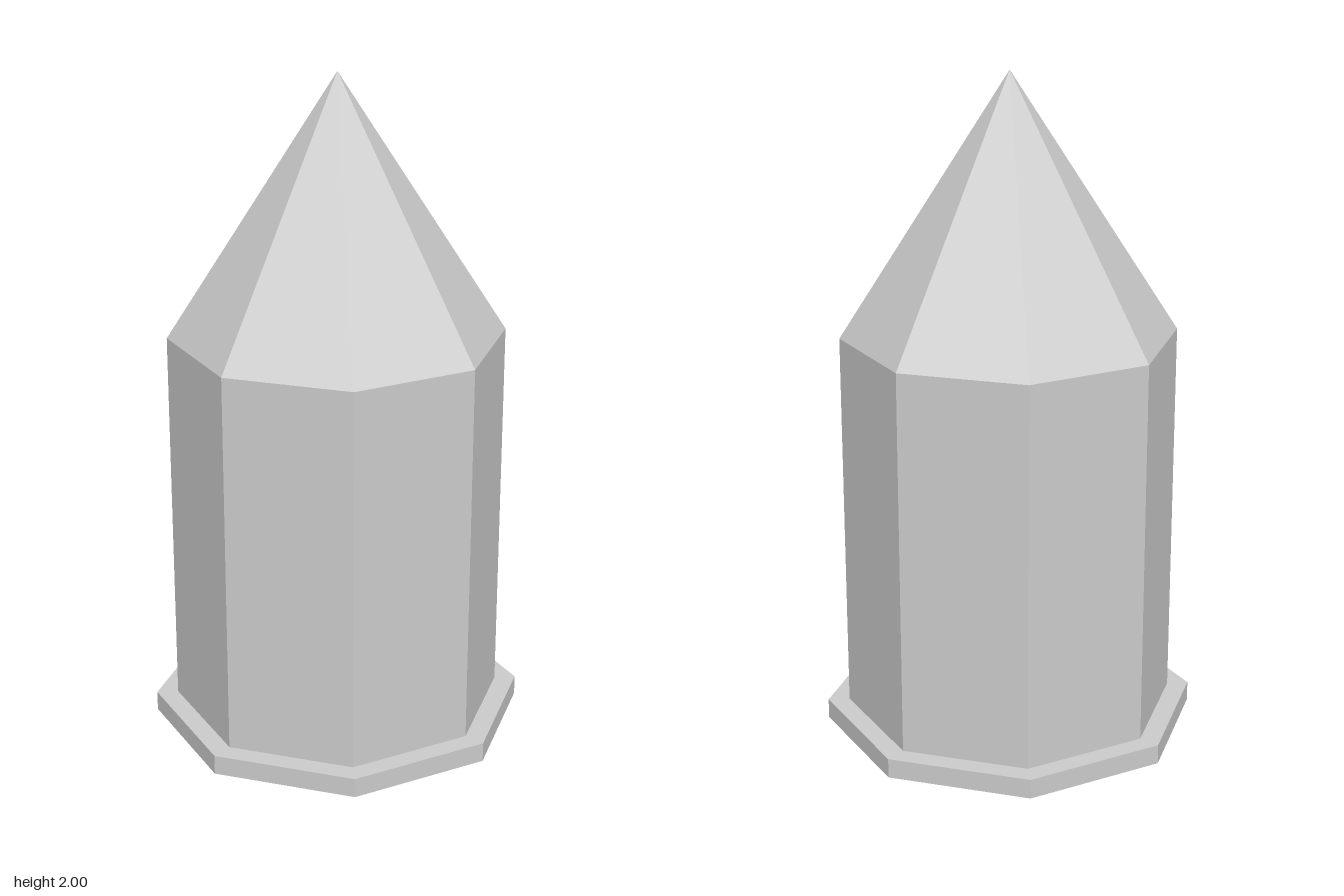
import * as THREE from 'three';

const SIDES = 8;
const BASE_TOP = 0.06;
const WALL_TOP = 1.225;
const TIP = 2;

export function createModel() {
  const group = new THREE.Group();
  group.name = 'octagonalTower';
  const material = new THREE.MeshStandardMaterial({ color: 0xcccccc, flatShading: true });

  // Adds one eight-sided section between two heights
  const addSection = (name, topRadius, bottomRadius, y0, y1, open = false) => {
    const geometry = new THREE.CylinderGeometry(topRadius, bottomRadius, y1 - y0, SIDES, 1, open);
    const mesh = new THREE.Mesh(geometry, material);
    mesh.name = name;
    mesh.position.y = (y0 + y1) / 2;
    group.add(mesh);
  };

  addSection('basePlate', 0.565, 0.565, 0, BASE_TOP);
  // Walls and roof are open where they meet their neighbours
  addSection('walls', 0.5, 0.5, BASE_TOP, WALL_TOP, true);
  addSection('pointedRoof', 0, 0.5, WALL_TOP, TIP, true);

  return group;
}
